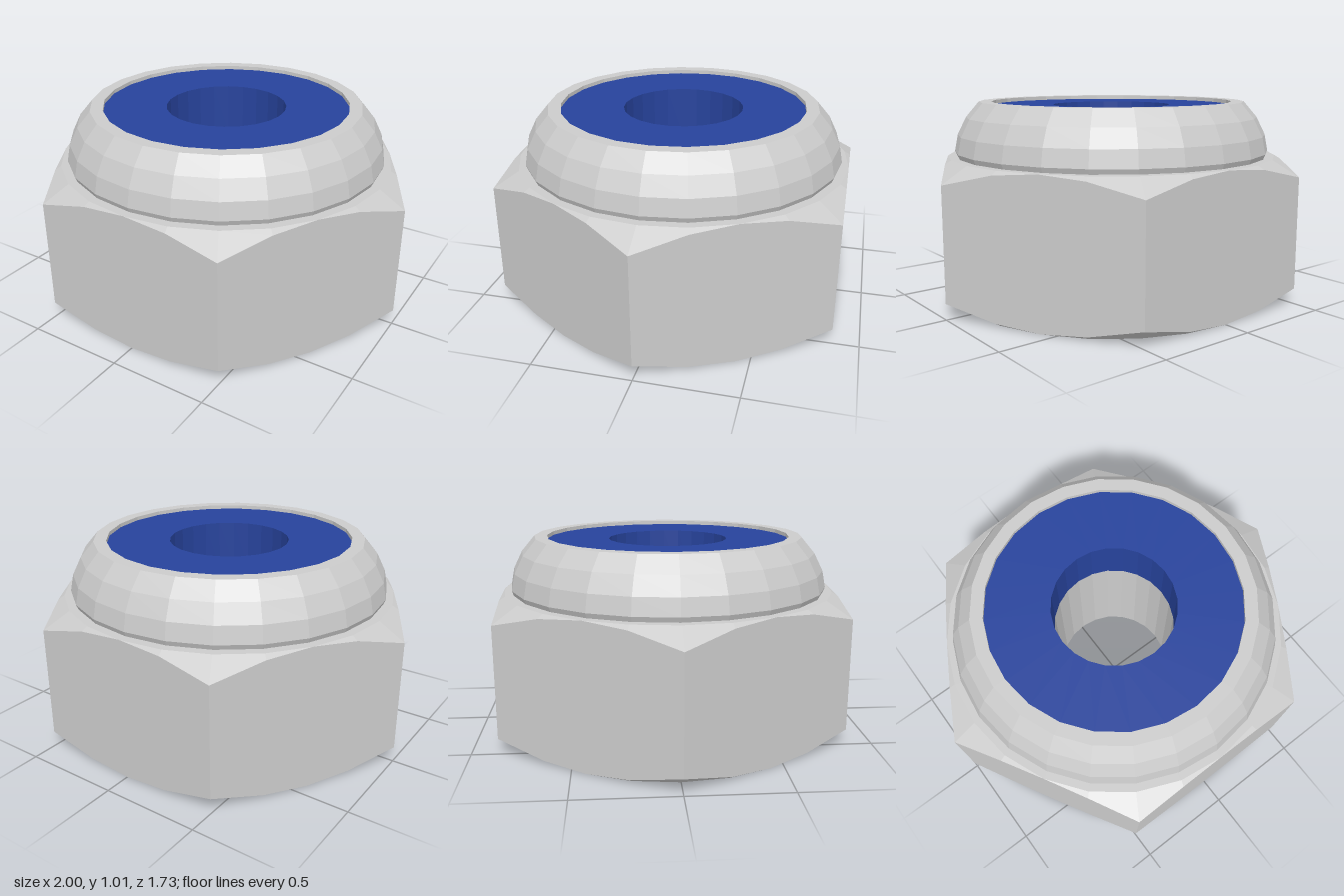
import * as THREE from 'three';

const SIDES = 24;
const APOTHEM = Math.sqrt(3) / 2;
const BODY_TOP = 0.73;
const CHAMFER = 0.08;
const BORE = 0.31;

const steel = new THREE.MeshStandardMaterial({ color: 0xcccccc, flatShading: true });
const nylon = new THREE.MeshStandardMaterial({ color: 0x27439c, flatShading: true });

const lathe = (profile) =>
  new THREE.LatheGeometry(profile.map(([r, y]) => new THREE.Vector2(r, y)), SIDES);

function part(name, geometry, material) {
  const mesh = new THREE.Mesh(geometry, material);
  mesh.name = name;
  return mesh;
}

// Turned ring whose two outer loops are pushed out to a hexagon, dipping at the corners
function hexBodyGeometry() {
  const profile = [
    [BORE, 0.07], [0.42, 0], [APOTHEM, 0],
    [APOTHEM, 0], [APOTHEM, BODY_TOP],
    [APOTHEM, BODY_TOP], [BORE, BODY_TOP], [BORE, 0.07],
  ];
  const geometry = lathe(profile);
  const pos = geometry.attributes.position;
  for (let i = 0; i <= SIDES; i++) {
    const angle = (i / SIDES) * Math.PI * 2;
    const fromFlat = (((i + 2) % 4) - 2) * (Math.PI / 12);
    const r = APOTHEM / Math.cos(fromFlat);
    const drop = (CHAMFER * (r - APOTHEM)) / (1 - APOTHEM);
    const x = r * Math.sin(angle), z = r * Math.cos(angle);
    pos.setXYZ(i * profile.length + 3, x, drop, z);
    pos.setXYZ(i * profile.length + 4, x, BODY_TOP - drop, z);
  }
  geometry.computeVertexNormals();
  return geometry;
}

export function createModel() {
  const group = new THREE.Group();
  group.name = 'lockNut';

  // Hexagonal body with chamfered corners and countersunk bore
  group.add(part('hexBody', hexBodyGeometry(), steel));

  // Domed collar with a flat lip around the insert
  group.add(part('collar', lathe([
    [0.82, BODY_TOP], [0.83, 0.755], [0.813, 0.84], [0.768, 0.93],
    [0.7, 1.01], [0.635, 1.01], [0.635, BODY_TOP],
  ]), steel));

  // Locking insert, slightly recessed below the lip
  group.add(part('insert', lathe([
    [0.635, BODY_TOP], [0.635, 0.99], [BORE, 0.99], [BORE, BODY_TOP],
  ]), nylon));

  return group;
}
